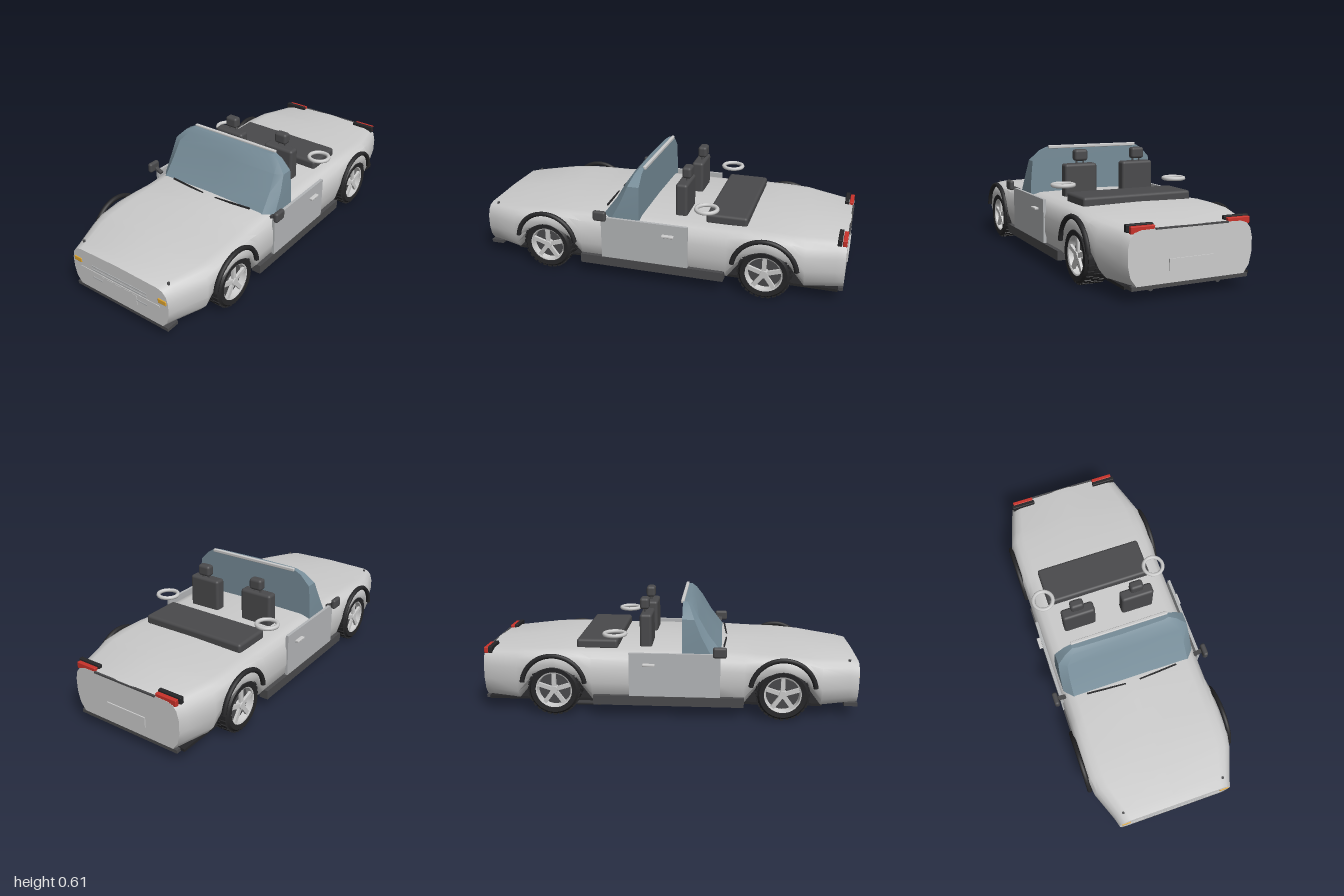
import * as THREE from 'three';
import { toCreasedNormals } from 'three/addons/utils/BufferGeometryUtils.js';
import { RoundedBoxGeometry } from 'three/addons/geometries/RoundedBoxGeometry.js';

const paint = (color) => new THREE.MeshStandardMaterial({ color });
const grey = paint(0xcccccc), panel = paint(0xb4b6b8), dark = paint(0x4a4a4c), black = paint(0x262628);
const glass = paint(0x768c98), amber = paint(0xe0a52e), red = paint(0xc8322a), chrome = paint(0xe4e4e4);

function add(parent, name, geometry, material, x = 0, y = 0, z = 0) {
  const mesh = new THREE.Mesh(geometry, material);
  mesh.name = name;
  mesh.position.set(x, y, z);
  parent.add(mesh);
  return mesh;
}
const box = (w, h, d) => new THREE.BoxGeometry(w, h, d);
const soft = (w, h, d, r = 0.01) => new RoundedBoxGeometry(w, h, d, 3, r);

// Skin between closed rings of points, capped at both ends
function loft(rings, crease) {
  const n = rings[0].length, pos = rings.flat(2), index = [];
  for (let i = 0; i < rings.length - 1; i++) {
    for (let j = 0; j < n; j++) {
      const a = i * n + j, b = i * n + (j + 1) % n;
      index.push(a, a + n, b, b, a + n, b + n);
    }
  }
  [0, rings.length - 1].forEach((r, end) => {
    const c = pos.length / 3;
    for (let k = 0; k < 3; k++) pos.push(rings[r].reduce((t, p) => t + p[k], 0) / n);
    for (let j = 0; j < n; j++) {
      const a = r * n + j, b = r * n + (j + 1) % n;
      end ? index.push(c, b, a) : index.push(c, a, b);
    }
  });
  const g = new THREE.BufferGeometry();
  g.setAttribute('position', new THREE.Float32BufferAttribute(pos, 3));
  g.setIndex(index);
  return toCreasedNormals(g, crease);
}

// Body section: half outline as [share of width, share of height], mirrored
function bodyRing([z, w, top, low]) {
  const half = [[0.8, 1], [0.9, 0.96], [0.965, 0.86], [1, 0.68], [1, 0.4], [0.96, 0.16], [0.87, 0]];
  const at = (s) => ([u, v]) => [s * u * w, low + v * (top - low), z];
  return [[0, top + 0.006, z], ...half.map(at(-1)), ...half.map(at(1)).reverse()];
}

function makeBody() {
  // z, half width, top, bottom; the bottom lifts over the wheels
  const stations = [
    [1, 0.315, 0.293, 0.075], [0.95, 0.33, 0.302, 0.075], [0.8, 0.39, 0.315, 0.075],
    [0.73, 0.4, 0.322, 0.17], [0.6, 0.402, 0.332, 0.215], [0.47, 0.402, 0.338, 0.17],
    [0.4, 0.4, 0.343, 0.075], [0.27, 0.4, 0.349, 0.075], [-0.4, 0.4, 0.35, 0.075],
    [-0.47, 0.402, 0.352, 0.17], [-0.6, 0.402, 0.35, 0.215], [-0.73, 0.4, 0.346, 0.17],
    [-0.8, 0.385, 0.341, 0.075], [-0.95, 0.34, 0.33, 0.075], [-0.995, 0.325, 0.325, 0.075],
  ];
  return loft(stations.map(bodyRing), 0.7);
}

function makeWindscreen() {
  const back = 0.075;
  // height, half width, front z
  const levels = [[0.6, 0.27, 0.11], [0.58, 0.31, 0.13], [0.525, 0.363, 0.165], [0.44, 0.372, 0.215], [0.335, 0.377, 0.295]];
  return loft(levels.map(([y, w, f]) => {
    const side = back + (f - back) * 0.7;
    return [[w * 0.88, y, f - 0.005], [w, y, side], [w, y, back], [-w, y, back], [-w, y, side], [-w * 0.88, y, f - 0.005], [0, y, f]];
  }), 0.4);
}

// Wheel about the x axis, outer face towards +x
function makeWheel() {
  const wheel = new THREE.Group();
  wheel.name = 'wheel';
  const lathe = (pts, segments) => toCreasedNormals(
    new THREE.LatheGeometry(pts.map((p) => new THREE.Vector2(...p)), segments).rotateZ(-Math.PI / 2), 0.6);
  add(wheel, 'tyre', lathe([[0.095, -0.062], [0.122, -0.064], [0.134, -0.05], [0.136, 0], [0.134, 0.05], [0.122, 0.064],
    [0.098, 0.062], [0.095, 0.05], [0.095, -0.062]], 40), black);
  const block = box(0.034, 0.012, 0.02);
  for (let i = 0; i < 28; i++) {
    [-0.036, 0, 0.036].forEach((x, row) => {
      const a = ((i + (row % 2) / 2) / 28) * Math.PI * 2;
      add(wheel, 'treadBlock', block, black, x, 0.134 * Math.cos(a), 0.134 * Math.sin(a)).rotation.x = a;
    });
  }
  add(wheel, 'rim', lathe([[0.084, 0.01], [0.09, 0.056], [0.1, 0.06], [0.1, 0.05]], 40), chrome).material = rimMaterial;
  add(wheel, 'brakeDisc', new THREE.CylinderGeometry(0.094, 0.094, 0.05, 32).rotateZ(Math.PI / 2), dark);
  const spoke = box(0.014, 0.078, 0.022).translate(0, 0.05, 0);
  for (let i = 0; i < 5; i++) add(wheel, 'spoke', spoke, chrome, 0.047).rotation.x = (i / 5) * Math.PI * 2;
  add(wheel, 'hub', new THREE.CylinderGeometry(0.02, 0.024, 0.03, 16).rotateZ(-Math.PI / 2), chrome, 0.045);
  return wheel;
}
const rimMaterial = new THREE.MeshStandardMaterial({ color: 0xe4e4e4, side: THREE.DoubleSide });

function makeSeat() {
  const seat = new THREE.Group();
  seat.name = 'seat';
  add(seat, 'seatBack', soft(0.185, 0.19, 0.065, 0.015), dark, 0, 0.43, -0.125);
  add(seat, 'headrest', soft(0.075, 0.062, 0.05, 0.015), dark, 0, 0.57, -0.137);
  for (const x of [-0.02, 0.02]) add(seat, 'headrestPost', new THREE.CylinderGeometry(0.005, 0.005, 0.04, 8), dark, x, 0.535, -0.135);
  return seat;
}

export function createModel() {
  const car = new THREE.Group();
  car.name = 'roadster';
  add(car, 'body', makeBody(), grey);
  add(car, 'windscreen', makeWindscreen(), glass);
  add(car, 'windscreenRail', soft(0.54, 0.018, 0.018, 0.004), chrome, 0, 0.6, 0.073);
  add(car, 'foldedRoof', soft(0.61, 0.055, 0.22, 0.015), dark, 0, 0.369, -0.38);

  // Underside
  add(car, 'floor', box(0.66, 0.014, 1.78), black, 0, 0.07, -0.08);
  add(car, 'frontLip', box(0.61, 0.018, 0.07), dark, 0, 0.066, 0.965);
  add(car, 'rearLip', box(0.61, 0.018, 0.1), dark, 0, 0.066, -0.945);
  add(car, 'fuelTank', soft(0.285, 0.064, 0.38, 0.02), dark, -0.122, 0.04, -0.55);

  // Nose and tail
  for (const [w, y] of [[0.36, 0.222], [0.36, 0.203], [0.36, 0.155]]) add(car, 'grilleBar', box(w, 0.007, 0.008), panel, 0, y, 0.999);
  add(car, 'bumperStrip', box(0.525, 0.01, 0.008), chrome, 0, 0.187, 0.999);
  add(car, 'frontPlate', box(0.23, 0.06, 0.008), grey, 0, 0.154, 1.0);
  add(car, 'rearPlate', box(0.24, 0.055, 0.008), grey, 0, 0.158, -0.997);
  add(car, 'bootEdge', box(0.38, 0.008, 0.01), dark, 0, 0.326, -0.995);

  for (const s of [-1, 1]) {
    add(car, 'indicator', soft(0.052, 0.027, 0.014, 0.005), amber, s * 0.279, 0.224, 0.997);
    add(car, 'bonnetPin', new THREE.CylinderGeometry(0.007, 0.007, 0.012, 12), dark, s * 0.28, 0.3, 0.95);
    add(car, 'tailLight', soft(0.12, 0.034, 0.022, 0.004), red, s * 0.25, 0.326, -0.983);
    add(car, 'tailLightHousing', soft(0.135, 0.036, 0.022, 0.004), black, s * 0.253, 0.331, -0.958);

    // Doors, sills and mirrors
    add(car, 'door', box(0.016, 0.232, 0.475), panel, s * 0.4, 0.237, 0.038);
    add(car, 'doorHandle', soft(0.022, 0.013, 0.065, 0.004), chrome, s * 0.417, 0.293, -0.095);
    add(car, 'sill', box(0.05, 0.05, 0.79), dark, s * 0.382, 0.094, 0.005);
    add(car, 'mirror', soft(0.028, 0.056, 0.072, 0.012), dark, s * 0.43, 0.371, 0.272);
    const arm = add(car, 'mirrorArm', box(0.05, 0.014, 0.022), dark, s * 0.4, 0.352, 0.265);
    arm.rotation.z = s * 0.4;

    // Wipers
    const wiper = add(car, 'wiper', box(0.22, 0.008, 0.008), black, s * 0.15, 0.355, 0.299);
    wiper.rotation.set(0, s * 0.06, s * 0.04);

    // Cabin
    const seat = makeSeat();
    seat.position.x = s * 0.17;
    car.add(seat);
    add(car, 'hoop', new THREE.TorusGeometry(0.055, 0.011, 8, 28).rotateX(Math.PI / 2), chrome, s * 0.328, 0.435, -0.28);

    // Exhaust pipes and front links
    const pipe = add(car, 'exhaustPipe', new THREE.CylinderGeometry(0.013, 0.013, 1.44, 12).rotateX(Math.PI / 2), dark, s * 0.18, 0.034, -0.22);
    pipe.rotation.x = 0.012;
    add(car, 'frontLink', box(0.11, 0.016, 0.05), dark, s * 0.2, 0.048, 0.5).rotation.z = s * 0.24;

    // Wheels and arches
    for (const z of [0.6, -0.6]) {
      const wheel = makeWheel();
      wheel.position.set(s * 0.34, 0.141, z);
      if (s < 0) wheel.rotation.y = Math.PI;
      car.add(wheel);
      const arch = new THREE.TorusGeometry(0.168, 0.013, 8, 28, Math.PI - 0.28).rotateZ(0.14).rotateY(Math.PI / 2);
      add(car, 'wheelArch', arch, black, s * 0.408, 0.161, z);
    }
  }
  return car;
}
